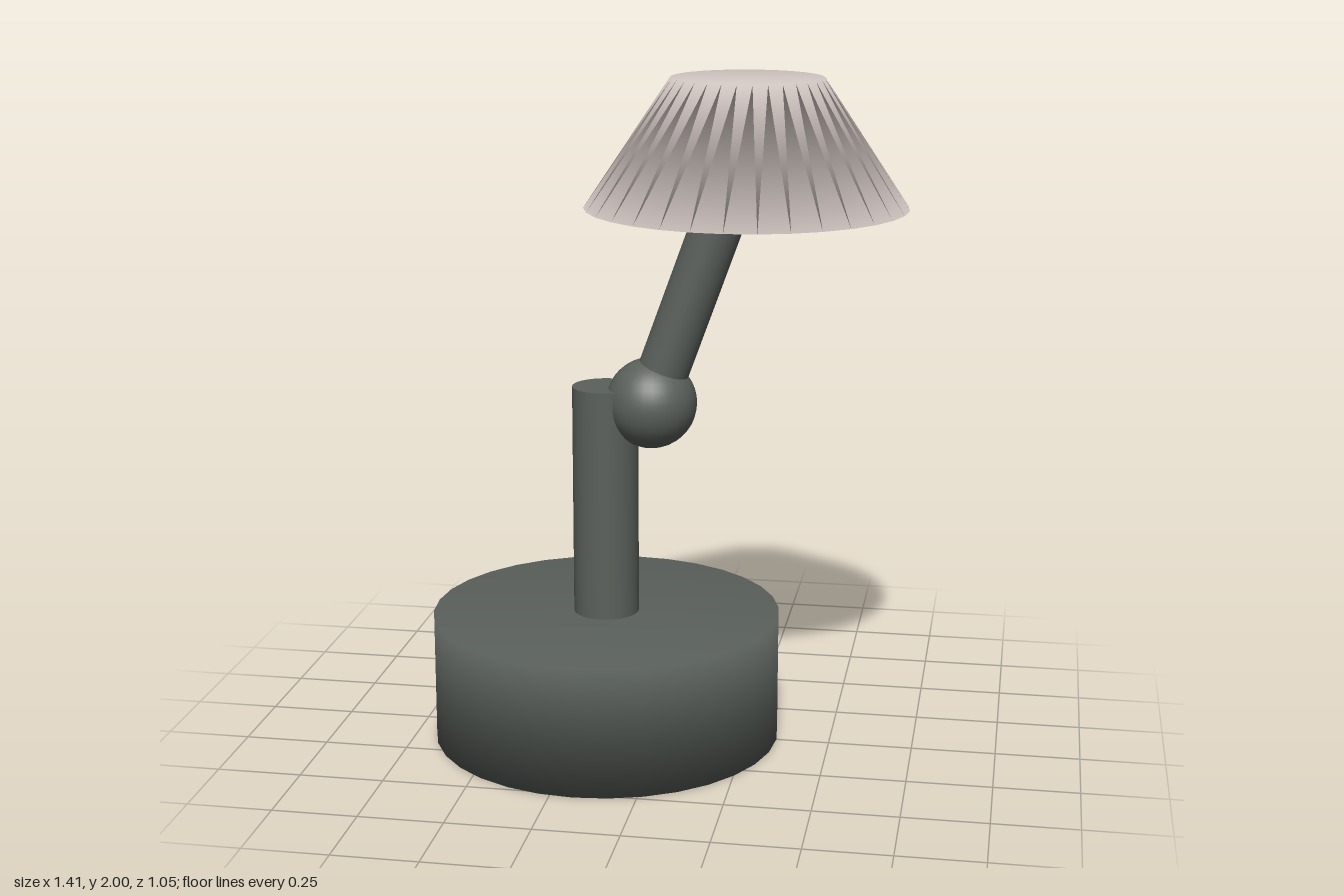
import * as THREE from 'three';

const darkMetal = new THREE.MeshStandardMaterial({ color: 0x5a605b });
darkMetal.name = 'dark grey metal';
const paleShade = new THREE.MeshStandardMaterial({ color: 0xd3c8c4 });
paleShade.name = 'pale blush';

function addPart(group, name, geometry, material, x, y, z = 0) {
  const mesh = new THREE.Mesh(geometry, material);
  mesh.name = name;
  mesh.position.set(x, y, z);
  group.add(mesh);
  return mesh;
}

// Closed drum whose caps and wall share softened rim normals
function softDrum(topRadius, bottomRadius, height, spread) {
  const geometry = new THREE.CylinderGeometry(topRadius, bottomRadius, height, 32);
  const { position, normal } = geometry.attributes;
  const n = new THREE.Vector3();
  for (let i = 0; i < position.count; i++) {
    n.set(position.getX(i), 0, position.getZ(i)).normalize().multiplyScalar(spread);
    n.y = Math.sign(position.getY(i));
    n.normalize();
    normal.setXYZ(i, n.x, n.y, n.z);
  }
  return geometry;
}

export function createModel() {
  const lamp = new THREE.Group();
  lamp.name = 'deskLamp';

  // Heavy round base and upright post
  addPart(lamp, 'base', softDrum(0.523, 0.523, 0.388, 0.15), darkMetal, -0.182, 0.194);
  addPart(lamp, 'post', new THREE.CylinderGeometry(0.098, 0.098, 0.735, 32), darkMetal, -0.182, 0.7175);

  // Ball joint beside the top of the post
  addPart(lamp, 'joint', new THREE.SphereGeometry(0.135, 32, 20), darkMetal, -0.043, 1.04);

  // Leaning arm from the joint into the shade
  const start = new THREE.Vector3(-0.043, 1.04, 0);
  const end = new THREE.Vector3(0.195, 1.7, 0);
  const middle = start.clone().add(end).multiplyScalar(0.5);
  const arm = addPart(lamp, 'arm',
    new THREE.CylinderGeometry(0.076, 0.076, start.distanceTo(end), 32), darkMetal, middle.x, middle.y);
  arm.quaternion.setFromUnitVectors(new THREE.Vector3(0, 1, 0), end.clone().sub(start).normalize());

  // Closed tapered shade
  addPart(lamp, 'shade', softDrum(0.22, 0.468, 0.37, 0.2), paleShade, 0.234, 1.815);

  return lamp;
}
